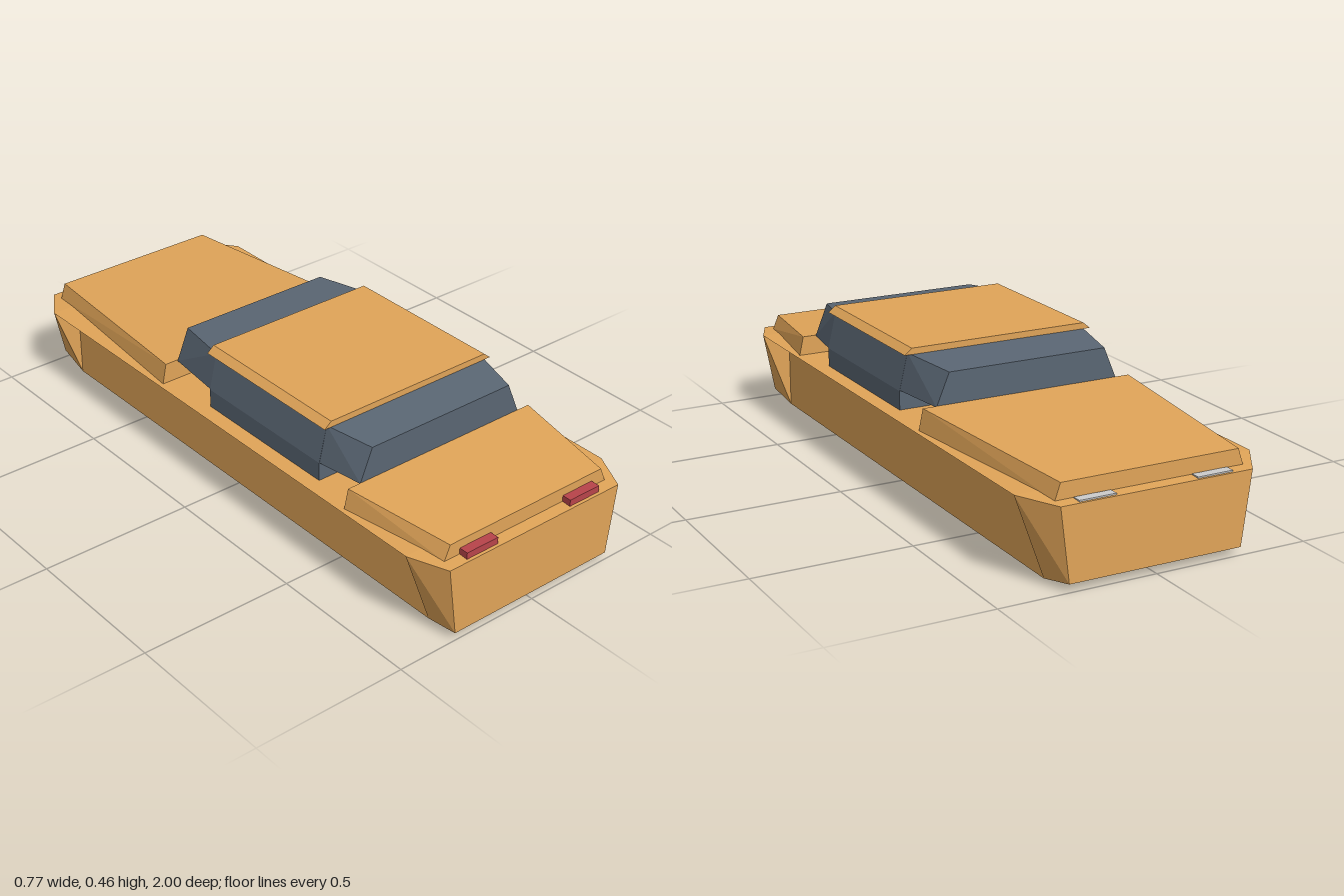
import * as THREE from 'three';

const paint = new THREE.MeshStandardMaterial({ color: 0xe0a458, flatShading: true });
const glass = new THREE.MeshStandardMaterial({ color: 0x5a6673, flatShading: true });
const red = new THREE.MeshStandardMaterial({ color: 0xb8444a, flatShading: true });
const white = new THREE.MeshStandardMaterial({ color: 0xdddddd, flatShading: true });

// Closed body through mirrored cross-sections, ordered from back to front.
// Each section is [z, [x, y], ...]: its +x half from bottom to top.
function loft(name, material, sections) {
  const rings = sections.map(([z, ...half]) => [
    ...half.map(([x, y]) => new THREE.Vector3(x, y, z)),
    ...half.map(([x, y]) => new THREE.Vector3(-x, y, z)).reverse(),
  ]);
  const n = rings[0].length;
  const pos = [];
  const tri = (...corners) => corners.forEach((v) => pos.push(v.x, v.y, v.z));
  for (let s = 0; s < rings.length - 1; s++) {
    for (let i = 0; i < n; i++) {
      const j = (i + 1) % n;
      const a = rings[s][i], b = rings[s][j], c = rings[s + 1][j], d = rings[s + 1][i];
      // Split each quad along its wider diagonal so corners stay convex and mirrored
      if (Math.abs(a.x) + Math.abs(c.x) >= Math.abs(b.x) + Math.abs(d.x)) {
        tri(a, b, c);
        tri(a, c, d);
      } else {
        tri(a, b, d);
        tri(b, c, d);
      }
    }
  }
  const back = rings[0], front = rings[rings.length - 1];
  for (let i = 1; i < n - 1; i++) {
    tri(back[0], back[i + 1], back[i]);
    tri(front[0], front[i], front[i + 1]);
  }
  const geometry = new THREE.BufferGeometry();
  geometry.setAttribute('position', new THREE.Float32BufferAttribute(pos, 3));
  geometry.computeVertexNormals();
  const mesh = new THREE.Mesh(geometry, material);
  mesh.name = name;
  return mesh;
}

function lamp(name, material, x, y, z, height) {
  const mesh = new THREE.Mesh(new THREE.BoxGeometry(0.117, height, 0.03), material);
  mesh.name = name;
  mesh.position.set(x, y, z);
  return mesh;
}

export function createModel() {
  const car = new THREE.Group();
  car.name = 'car';

  // Lower body: upright sides under a flared rim, chamfered corners
  const floor = [0.29, 0], underRim = [0.29, 0.24], rim = [0.385, 0.26];
  car.add(loft('lowerBody', paint, [
    [-1, [0.28, 0.025], [0.28, 0.025], [0.31, 0.253]],
    [-0.88, floor, floor, rim],
    [-0.88, floor, underRim, rim],
    [0.88, floor, underRim, rim],
    [0.88, floor, floor, rim],
    [1, [0.3, 0.025], [0.3, 0.025], [0.33, 0.253]],
  ]));

  // Raised decks at both ends
  car.add(loft('rearDeck', paint, [
    [-0.96, [0.305, 0.255], [0.288, 0.305]],
    [-0.28, [0.37, 0.255], [0.355, 0.326]],
  ]));
  car.add(loft('frontDeck', paint, [
    [0.6, [0.37, 0.255], [0.355, 0.322]],
    [0.96, [0.315, 0.255], [0.295, 0.302]],
  ]));

  // Cabin with overhanging glass blocks front and rear
  car.add(loft('cabin', glass, [
    [-0.08, [0.333, 0.255], [0.333, 0.32], [0.305, 0.438]],
    [0.445, [0.333, 0.255], [0.333, 0.32], [0.305, 0.438]],
  ]));
  car.add(loft('rearGlass', glass, [
    [-0.28, [0.31, 0.322], [0.267, 0.425]],
    [-0.08, [0.332, 0.322], [0.305, 0.437]],
  ]));
  car.add(loft('frontGlass', glass, [
    [0.445, [0.332, 0.32], [0.305, 0.437]],
    [0.6, [0.31, 0.32], [0.267, 0.425]],
  ]));
  car.add(loft('roof', paint, [
    [-0.1, [0.324, 0.436], [0.3, 0.456]],
    [0.458, [0.324, 0.436], [0.3, 0.456]],
  ]));

  // Lamp pairs
  for (const [side, s] of [['left', 1], ['right', -1]]) {
    car.add(lamp(side + 'RedLamp', red, s * 0.2, 0.264, 0.975, 0.022));
    car.add(lamp(side + 'WhiteLamp', white, s * 0.19, 0.252, -0.978, 0.012));
  }
  return car;
}
